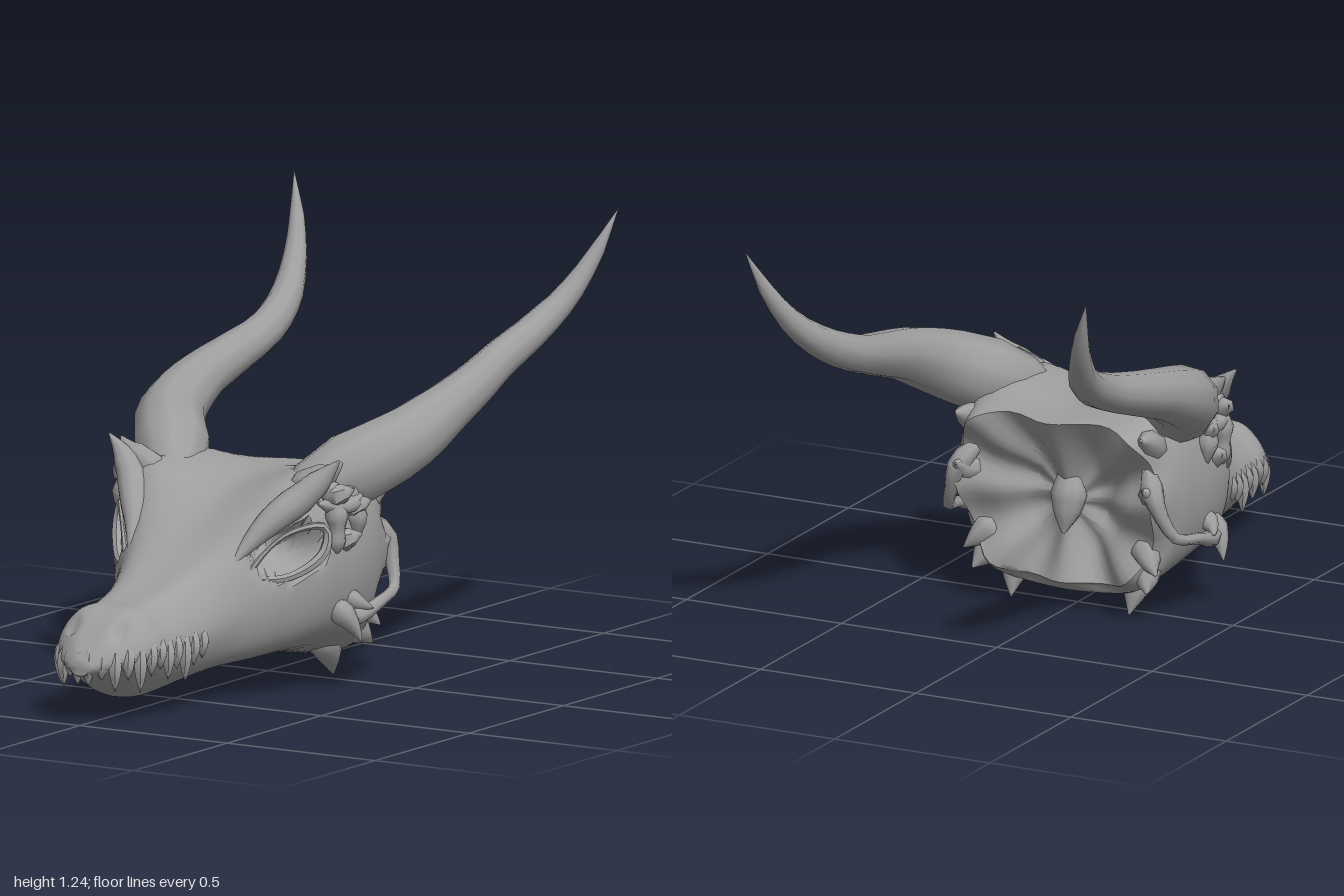
import * as THREE from 'three';
import { toCreasedNormals } from 'three/addons/utils/BufferGeometryUtils.js';

const V = (p) => new THREE.Vector3(...p);
const bone = new THREE.MeshStandardMaterial({ color: 0x9e9e9e });

// Stitches rows of equally many points into a surface closed around each row.
function loft(rows, crease) {
  const n = rows[0].length, pos = [], index = [];
  rows.forEach((row) => row.forEach((p) => pos.push(p.x, p.y, p.z)));
  for (let i = 0; i < rows.length - 1; i++) {
    for (let j = 0; j < n; j++) {
      const k = (j + 1) % n, a = i * n + j, b = i * n + k, c = a + n, d = b + n;
      index.push(a, b, c, b, d, c);
    }
  }
  const g = new THREE.BufferGeometry();
  g.setAttribute('position', new THREE.Float32BufferAttribute(pos, 3));
  g.setIndex(index);
  return toCreasedNormals(g, crease);
}

// Tube along a curve whose radius follows a list of values.
function taper(name, points, radii, steps = 8, sides = 8, closed = false) {
  const curve = new THREE.CatmullRomCurve3(points.map(V), closed);
  const frames = curve.computeFrenetFrames(steps, closed);
  const rows = [];
  for (let i = 0; i <= steps; i++) {
    const t = i / steps, f = t * (radii.length - 1), k = Math.min(Math.floor(f), radii.length - 2);
    const r = THREE.MathUtils.lerp(radii[k], radii[k + 1], f - k);
    const c = curve.getPointAt(t), row = [];
    for (let j = 0; j < sides; j++) {
      const a = j / sides * Math.PI * 2;
      row.push(c.clone().addScaledVector(frames.normals[i], Math.cos(a) * r)
        .addScaledVector(frames.binormals[i], Math.sin(a) * r));
    }
    rows.push(row);
  }
  if (!closed) rows.unshift(rows[0].map(() => curve.getPoint(0)));
  const mesh = new THREE.Mesh(loft(rows, 1), bone);
  mesh.name = name;
  return mesh;
}

// z, top y, shoulder x y, side x y, lower edge x y, bottom y
const STATIONS = [
  [1.0, .19, .02, .185, .035, .17, .02, .15, .145],
  [.95, .245, .055, .24, .1, .185, .04, .13, .12],
  [.86, .315, .09, .305, .157, .205, .055, .09, .07],
  [.76, .325, .09, .315, .165, .205, .07, .065, .05],
  [.62, .36, .11, .35, .18, .215, .11, .09, .08],
  [.48, .425, .155, .415, .215, .26, .16, .12, .085],
  [.36, .50, .21, .515, .29, .32, .225, .14, .09],
  [.25, .56, .27, .605, .355, .38, .29, .165, .09],
  [.12, .585, .28, .63, .372, .4, .31, .165, .075],
  [0, .595, .29, .615, .365, .385, .28, .125, .06],
  [-.07, .59, .28, .585, .345, .37, .25, .1, .055],
  [-.13, .585, .26, .555, .315, .35, .22, .12, .09],
];

// Pushes points inward around the eye sockets and nostrils.
function dent(p) {
  const s = Math.sign(p.x), x = Math.abs(p.x);
  const pit = (c, size, depth) => {
    const d = Math.hypot((x - c[0]) / size[0], (p.y - c[1]) / size[1], (p.z - c[2]) / size[2]);
    return d < 1 ? depth * (1 - d * d) : 0;
  };
  const eye = pit([.285, .43, .33], [.13, .08, .12], .1);
  p.x -= s * eye;
  p.z -= eye * .4;
  p.y -= pit([.08, .28, .915], [.03, .045, .035], .02);
  return p;
}

function skull() {
  const N = 64, rows = [];
  const along = (f, c) => { // smooth value of column c at fractional station f
    const i = Math.min(Math.floor(f), STATIONS.length - 2), t = f - i;
    const v = (k) => STATIONS[THREE.MathUtils.clamp(k, 0, STATIONS.length - 1)][c];
    const a = v(i), b = v(i + 1), ma = (b - v(i - 1)) / 2, mb = (v(i + 2) - a) / 2;
    return (2 * a - 2 * b + ma + mb) * t ** 3 + (3 * b - 3 * a - 2 * ma - mb) * t * t + ma * t + a;
  };
  const last = STATIONS.length - 1, per = 6;
  for (let r = 0; r <= last * per; r++) {
    const [z, top, sx, sy, wx, wy, lx, ly, bot] = STATIONS[0].map((_, c) => along(r / per, c));
    const ring = new THREE.CatmullRomCurve3([
      [0, top, z], [sx, sy, z], [wx, wy, z], [lx, ly, z],
      [0, bot, z], [-lx, ly, z], [-wx, wy, z], [-sx, sy, z]].map(V), true);
    const w = THREE.MathUtils.smoothstep(r / per, last - 1.6, last);
    const row = [];
    for (let j = 0; j < N; j++) {
      const p = dent(ring.getPoint(j / N)), a = j / N * Math.PI * 2;
      p.z -= w * (.025 * Math.cos(a * 8) + .04 * Math.cos(a)); // ragged rear rim
      row.push(p);
    }
    rows.push(row);
  }
  rows.unshift(rows[0].map(() => V([0, .165, 1])));
  // hollow back of the skull with upright folds
  const rim = rows[rows.length - 1];
  for (const s of [.94, .84, .72, .6, .48, .36, .24, .12, 0]) {
    const hollow = Math.sin(Math.PI * Math.sqrt(s));
    rows.push(rim.map((p) => V([
      p.x * s, .32 + (p.y - .32) * s,
      THREE.MathUtils.lerp(-.07, p.z, s) + hollow * (.045 - .025 * Math.cos(p.x * s * 30))])));
  }
  const mesh = new THREE.Mesh(loft(rows, 0.9), bone);
  mesh.name = 'skull';
  return mesh;
}

function sideParts(s) {
  const g = new THREE.Group();
  g.name = s > 0 ? 'leftSide' : 'rightSide';
  const add = (name, pts, radii, ...rest) =>
    g.add(taper(name, pts.map(([x, y, z]) => [x * s, y, z]), radii, ...rest));

  // long swept horn
  add('horn', [[.17, .53, .24], [.285, .61, .06], [.392, .69, -.1], [.418, .755, -.27], [.412, .805, -.45],
    [.4, .85, -.6], [.422, .915, -.75], [.46, .995, -.86], [.5, 1.1, -.94], [.548, 1.238, -1]],
  [.02, .085, .112, .104, .09, .075, .066, .058, .053, .046, .035, .022, .001], 24, 10);

  // eye socket rim and the overhanging brow
  add('eyeRim', [[.212, .365, .425], [.285, .355, .345], [.35, .42, .25], [.348, .49, .24], [.275, .475, .345]],
    [.01, .013, .016, .01, .006, .01], 24, 6, true);
  add('browRidge', [[.17, .39, .47], [.198, .46, .4], [.24, .525, .335], [.29, .58, .27], [.345, .64, .235], [.39, .688, .23]],
    [.004, .024, .04, .046, .036, .003], 14, 10);
  add('browCrest', [[.19, .56, .22], [.26, .6, .21], [.33, .635, .2], [.375, .675, .19]], [.01, .045, .04, .003], 9, 8);

  // lumpy ridges behind the eye
  add('templeRidge', [[.31, .62, .2], [.34, .59, .2], [.36, .52, .2], [.36, .45, .2], [.35, .4, .2]],
    [.008, .035, .025, .035, .022, .03, .004], 14, 8);
  add('templeRidge', [[.31, .6, .13], [.35, .56, .11], [.365, .5, .1], [.352, .42, .1]],
    [.01, .036, .024, .034, .02, .004], 12, 8);
  add('templeRidge', [[.33, .56, .25], [.365, .54, .16], [.35, .56, .05]], [.005, .03, .02, .032, .005], 9, 8);
  for (const [y, z] of [[.585, .19], [.54, .1], [.45, .15]])
    add('templeSpike', [[.33, y - .02, z + .03], [.375, y, z], [.4, y + .012, z - .025]], [.01, .035, .026, .002], 6, 6);

  // cheek arch looping round to the rear crest
  add('cheekArch', [[.33, .24, .2], [.37, .215, .12], [.385, .245, 0], [.365, .27, -.1], [.34, .33, -.13],
    [.315, .4, -.14], [.27, .47, -.08]], [.005, .03, .02, .016, .017, .022, .035, .02], 16, 7);
  add('cheekSpike', [[.32, .27, .18], [.38, .2, .15], [.402, .145, .13]], [.02, .04, .022, .002]);
  add('cheekBarb', [[.33, .28, .13], [.38, .25, .1], [.402, .235, .07]], [.02, .032, .018, .002]);

  // spurs on the rear rim and the throat
  add('rearSpur', [[.26, .49, -.03], [.29, .55, -.12], [.3, .575, -.185]], [.02, .05, .035, .003]);
  add('rearSpur', [[.27, .37, -.05], [.305, .4, -.13], [.3, .42, -.178]], [.02, .045, .035, .003]);
  add('throatSpur', [[.18, .17, .06], [.195, .09, -.005], [.19, .002, -.05]], [.02, .055, .038, .002]);
  add('throatSpur', [[.22, .18, -.02], [.26, .13, -.075], [.28, .095, -.115]], [.02, .055, .035, .003]);
  add('throatSpur', [[.23, .23, -.03], [.28, .18, -.09], [.31, .15, -.11]], [.02, .05, .03, .003]);

  // row of fangs of uneven length along the jaw edge
  const jaw = new THREE.CatmullRomCurve3([[.018, .18, .982], [.09, .185, .945], [.148, .2, .86], [.159, .2, .76], [.174, .205, .62]].map(V));
  for (let i = 0; i < 12; i++) {
    const p = jaw.getPointAt(i / 11), tip = p.y - [.065, .05, .085, .06, .105][i % 5];
    add('tooth', [[p.x * .93, p.y + .045, p.z - .015], [p.x, p.y - .01, p.z], [p.x * .99, tip, p.z]],
      [.004, .018, .021, .015, .001], 6, 6);
  }
  return g;
}

export function createModel() {
  const model = new THREE.Group();
  model.name = 'hornedSkull';
  // knob where the neck would join
  const neckKnob = taper('neckKnob', [[0, .45, -.03], [0, .33, -.055], [0, .23, -.09]], [.01, .04, .055, .04, .005], 10, 10);
  model.add(skull(), neckKnob, sideParts(1), sideParts(-1));
  return model;
}
